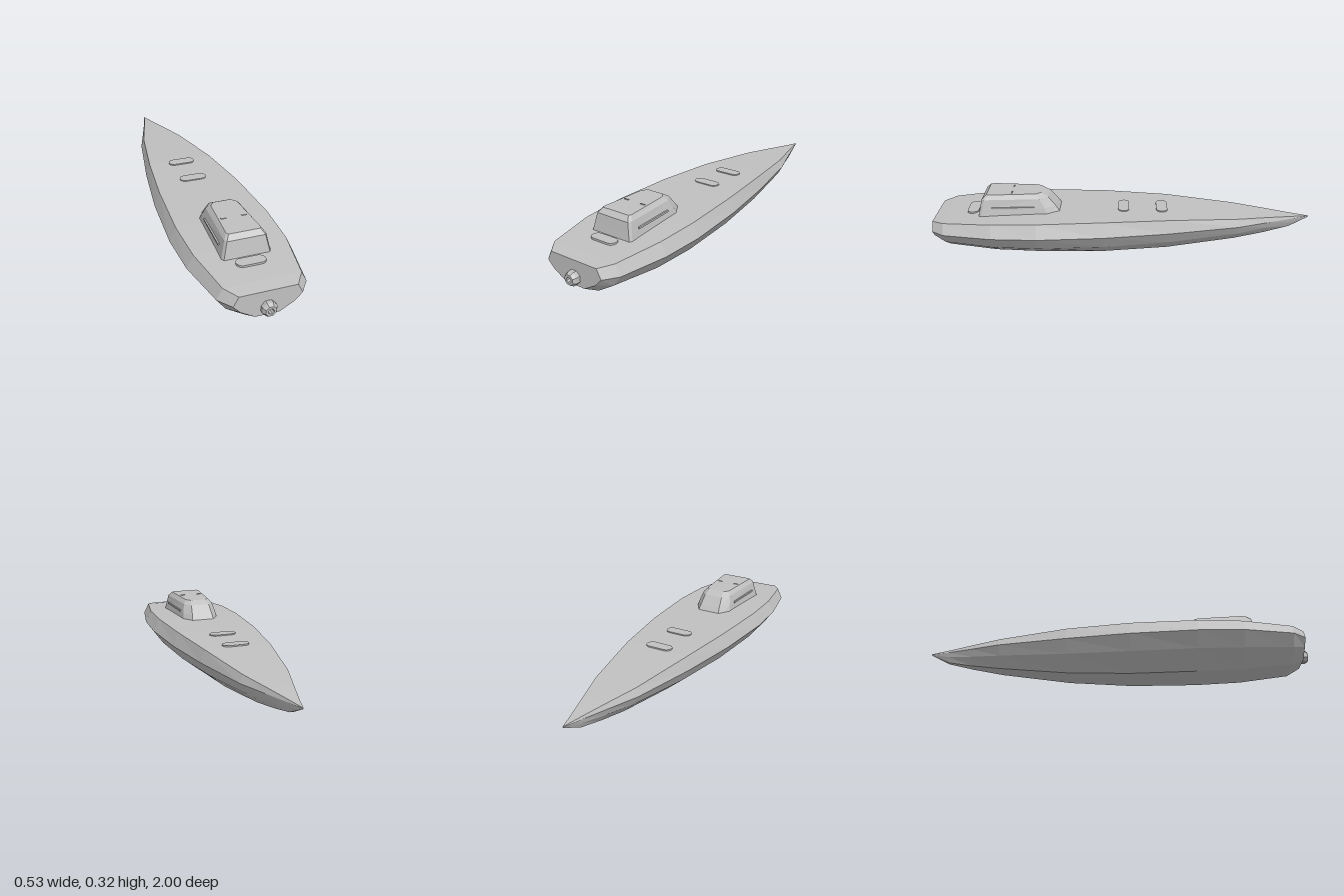
import * as THREE from 'three';

// Skin a stack of equal-length rings (counter-clockwise seen from the first end), capped, faceted
function loft(rings) {
  const n = rings[0].length, pos = [];
  const tri = (a, b, c) => pos.push(...a, ...b, ...c);
  for (let i = 0; i < rings.length - 1; i++) {
    const A = rings[i], B = rings[i + 1];
    for (let j = 0; j < n; j++) {
      const k = (j + 1) % n;
      tri(A[j], B[j], A[k]);
      tri(A[k], B[j], B[k]);
    }
  }
  const first = rings[0], last = rings[rings.length - 1];
  for (let j = 1; j < n - 1; j++) {
    tri(first[0], first[j], first[j + 1]);
    tri(last[0], last[j + 1], last[j]);
  }
  const g = new THREE.BufferGeometry();
  g.setAttribute('position', new THREE.Float32BufferAttribute(pos, 3));
  g.computeVertexNormals();
  return g;
}

export function createModel() {
  const boat = new THREE.Group();
  boat.name = 'speedboat';
  const grey = new THREE.MeshStandardMaterial({ color: 0xc0c0c0 });
  grey.name = 'hull grey';
  const add = (name, geometry, x = 0, y = 0, z = 0) => {
    const m = new THREE.Mesh(geometry, grey);
    m.name = name;
    m.position.set(x, y, z);
    boat.add(m);
    return m;
  };

  // Hull stations: z, deck half width, deck y, beam, beam y, chine half width, chine y, keel half width, keel y
  const stations = [
    [0.965, 0.135, 0.194, 0.160, 0.147, 0.125, 0.110, 0.057, 0.070],
    [0.90, 0.182, 0.203, 0.210, 0.149, 0.166, 0.092, 0.076, 0.036],
    [0.65, 0.226, 0.216, 0.258, 0.151, 0.204, 0.079, 0.092, 0.011],
    [0.42, 0.234, 0.222, 0.266, 0.151, 0.212, 0.076, 0.094, 0.002],
    [0.08, 0.214, 0.225, 0.242, 0.152, 0.192, 0.077, 0.086, 0.000],
    [-0.25, 0.174, 0.220, 0.195, 0.154, 0.154, 0.087, 0.069, 0.017],
    [-0.61, 0.110, 0.199, 0.126, 0.159, 0.098, 0.110, 0.044, 0.060],
    [-0.77, 0.064, 0.188, 0.073, 0.162, 0.057, 0.126, 0.026, 0.087],
    [-0.90, 0.027, 0.178, 0.031, 0.165, 0.024, 0.142, 0.011, 0.115],
    [-1.00, 0.001, 0.171, 0.002, 0.169, 0.001, 0.167, 0.001, 0.165],
  ];
  add('hull', loft(stations.map(([z, dw, dy, bw, by, cw, cy, kw, ky]) => [
    [dw, dy, z], [-dw, dy, z], [-bw, by, z], [-cw, cy, z],
    [-kw, ky, z], [kw, ky, z], [cw, cy, z], [bw, by, z],
  ])));

  // Cabin: level y, then right-hand outline from the rear round to the nose
  const levels = [
    [0.319, [[0.076, 0.688], [0.083, 0.675], [0.066, 0.435], [0.045, 0.408]]],
    [0.297, [[0.092, 0.712], [0.100, 0.698], [0.084, 0.415], [0.052, 0.372]]],
    [0.250, [[0.102, 0.721], [0.110, 0.708], [0.096, 0.388], [0.058, 0.333]]],
    [0.205, [[0.112, 0.730], [0.120, 0.717], [0.104, 0.368], [0.064, 0.302]]],
  ];
  add('cabin', loft(levels.map(([y, side]) => [
    ...side.map(([x, z]) => [x, y, z]),
    ...side.slice().reverse().map(([x, z]) => [-x, y, z]),
  ])));

  // Cabin side rails and roof grips
  for (const s of [1, -1]) {
    const rail = add('sideRail', new THREE.BoxGeometry(0.008, 0.009, 0.22), s * 0.105, 0.255, 0.55);
    rail.rotation.y = s * 0.05;
    add('roofGrip', new THREE.BoxGeometry(0.026, 0.006, 0.006), s * 0.05, 0.319, 0.56);
  }

  // Slot-shaped deck hatches
  const slot = new THREE.Shape();
  slot.absarc(0.042, 0, 0.029, -Math.PI / 2, Math.PI / 2, false);
  slot.absarc(-0.042, 0, 0.029, Math.PI / 2, Math.PI * 1.5, false);
  const hatch = new THREE.ExtrudeGeometry(slot, { depth: 0.012, bevelEnabled: false, curveSegments: 6 });
  hatch.rotateX(-Math.PI / 2);
  for (const [y, z] of [[0.206, 0.77], [0.217, -0.02], [0.215, -0.22]]) add('deckHatch', hatch, 0, y, z);

  // Octagonal water-jet nozzle, open at the rear
  const profile = [[0.036, 0.955], [0.036, 0.985], [0.026, 1], [0.014, 1], [0.014, 0.972], [0, 0.972]]
    .map(([r, d]) => new THREE.Vector2(r, d));
  const nozzle = new THREE.LatheGeometry(profile, 8, Math.PI / 8).toNonIndexed();
  nozzle.rotateX(Math.PI / 2);
  nozzle.computeVertexNormals();
  add('jetNozzle', nozzle, 0, 0.11, 0);

  return boat;
}
